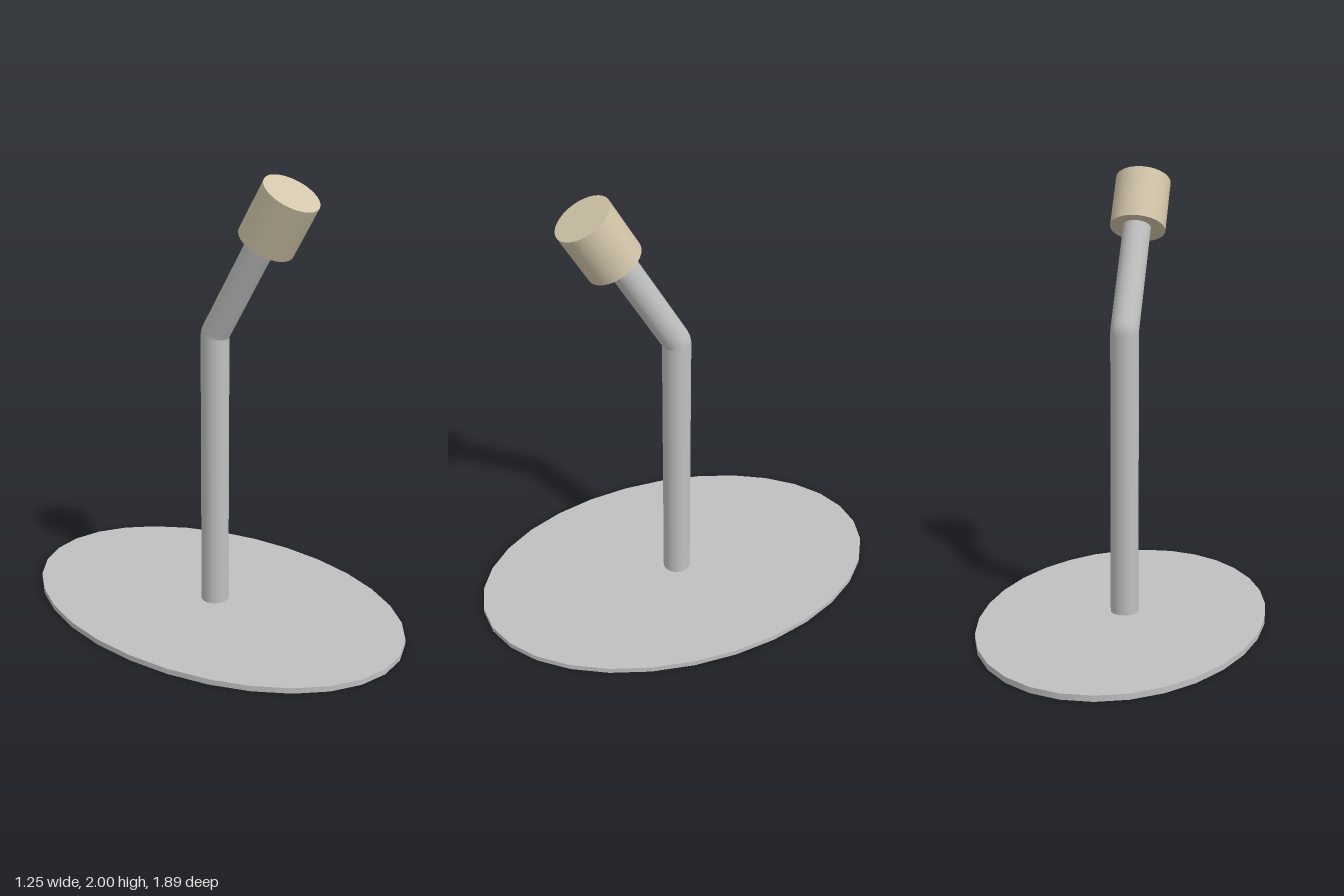
import * as THREE from 'three';

export function createModel() {
  const model = new THREE.Group();
  const steel = new THREE.MeshStandardMaterial({ color: 0xc0c0c0 });
  steel.name = 'grey metal';
  const tan = new THREE.MeshStandardMaterial({ color: 0xd2c5aa });
  tan.name = 'tan';

  const add = (name, geometry, material) => {
    const mesh = new THREE.Mesh(geometry, material);
    mesh.name = name;
    model.add(mesh);
    return mesh;
  };

  const thickness = 0.025;  // base plate
  const r = 0.0625;         // pole radius
  const bendY = 1.278;      // where the pole starts to bend
  const tilt = Math.PI / 6; // forward lean of the upper part

  // Oval base plate
  const base = add('base',
    new THREE.CylinderGeometry(1, 1, thickness, 30, 1, false, THREE.MathUtils.degToRad(8.4)), steel);
  base.scale.set(0.628, 1, 0.945);
  base.position.y = thickness / 2;

  // Upright pole
  const poleLength = bendY - thickness;
  const pole = add('pole', new THREE.CylinderGeometry(r, r, poleLength, 32, 1, true), steel);
  pole.position.y = thickness + poleLength / 2;

  // Elbow pivoting on the inner front edge of the pole
  const elbow = add('elbow', new THREE.TorusGeometry(r, r, 32, 6, tilt), steel);
  elbow.rotation.y = Math.PI / 2;
  elbow.position.set(0, bendY, r);

  // Leaning parts: a cylinder whose lower end is centred at (y, z)
  const leaning = (name, radius, length, y, z, material) => {
    const geometry = new THREE.CylinderGeometry(radius, radius, length, 32);
    geometry.translate(0, length / 2, 0);
    const mesh = add(name, geometry, material);
    mesh.rotation.x = tilt;
    mesh.position.set(0, y, z);
  };
  leaning('neck', r, 0.52, bendY + r * Math.sin(tilt), r - r * Math.cos(tilt), steel);
  leaning('head', 0.125, 0.245, 1.726, 0.267, tan);

  return model;
}
